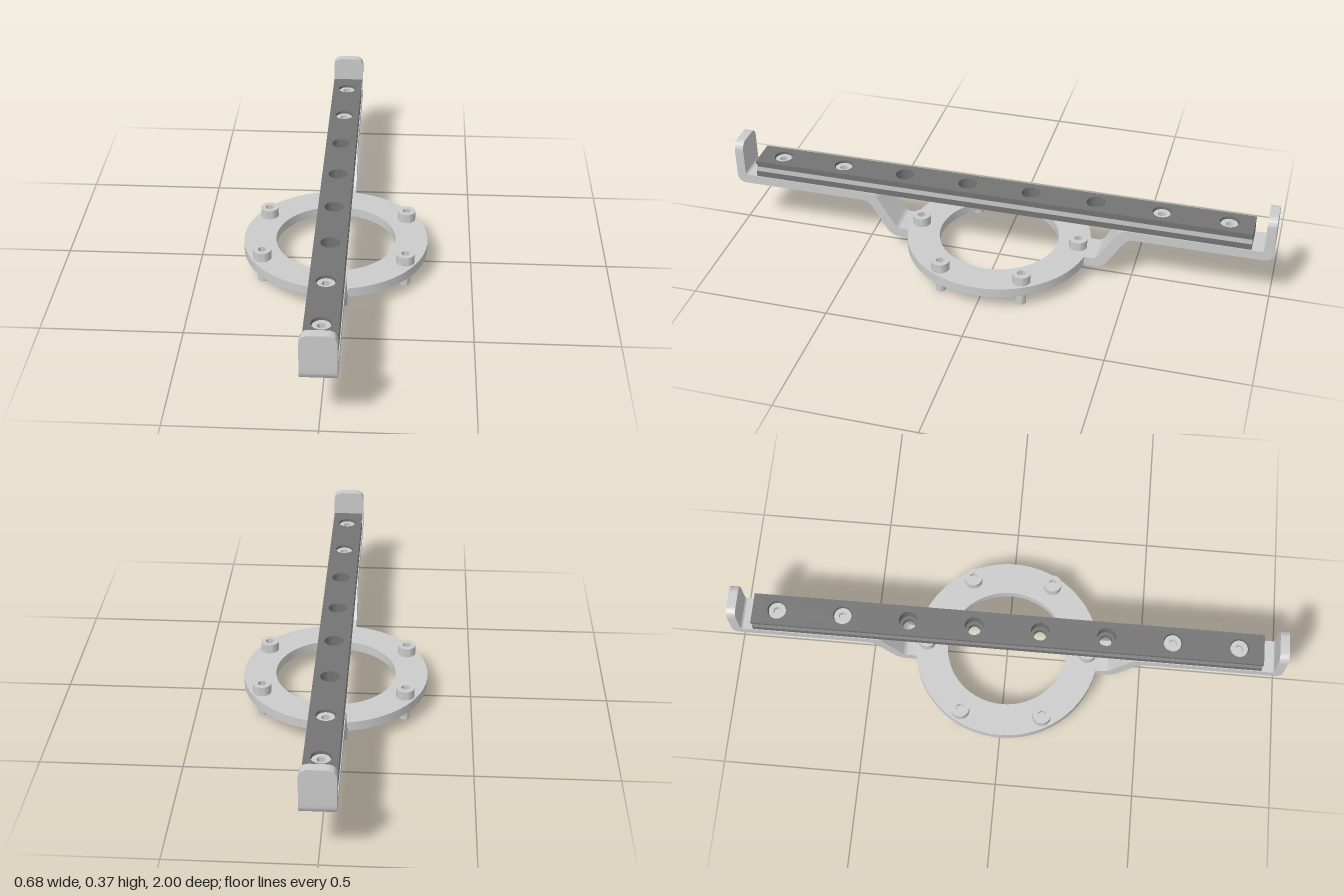
import * as THREE from 'three';
import { toCreasedNormals } from 'three/addons/utils/BufferGeometryUtils.js';

const grey = new THREE.MeshStandardMaterial({ color: 0xcccccc });
const dark = new THREE.MeshStandardMaterial({ color: 0x747474 });

const circle = (x, y, r) => new THREE.Path().absarc(x, y, r, 0, Math.PI * 2, true);

// Polygon whose corners [x, y, r] are softened by distance r
function roundedShape(pts) {
  const shape = new THREE.Shape();
  const n = pts.length;
  const towards = (a, b, d) => new THREE.Vector2(b[0] - a[0], b[1] - a[1]).setLength(d).add(new THREE.Vector2(a[0], a[1]));
  pts.forEach((p, i) => {
    const r = p[2] || 0;
    const a = r ? towards(p, pts[(i + n - 1) % n], r) : new THREE.Vector2(p[0], p[1]);
    if (i) shape.lineTo(a.x, a.y); else shape.moveTo(a.x, a.y);
    if (r) {
      const b = towards(p, pts[(i + 1) % n], r);
      shape.quadraticCurveTo(p[0], p[1], b.x, b.y);
    }
  });
  shape.closePath();
  return shape;
}

const extrude = (shape, depth, curveSegments = 8) =>
  new THREE.ExtrudeGeometry(shape, { depth, bevelEnabled: false, curveSegments });

// Plan-view shape raised from y0 to y1
const slab = (shape, y0, y1, seg) => extrude(shape, y1 - y0, seg).rotateX(-Math.PI / 2).translate(0, y0, 0);

function mesh(name, geometry, material = grey) {
  const m = new THREE.Mesh(toCreasedNormals(geometry, 0.6), material);
  m.name = name;
  return m;
}

// Socket-head bolt: the shaft top is the floor of the hexagonal socket
function bolt(name, x, z, headY, headR, headH, shaftR, tipY) {
  const g = new THREE.Group();
  g.name = name;
  const head = new THREE.Shape().absarc(0, 0, headR, 0, Math.PI * 2, false);
  const hex = new THREE.Path();
  hex.setFromPoints(Array.from({ length: 6 }, (_, i) => {
    const a = -i * Math.PI / 3;
    return new THREE.Vector2(Math.cos(a), Math.sin(a)).multiplyScalar(headR * 0.5);
  }));
  hex.closePath();
  head.holes.push(hex);
  g.add(mesh(name + 'Head', slab(head, headY, headY + headH, 12)));
  const top = headY + headH * 0.45;
  const shaft = new THREE.CylinderGeometry(shaftR, shaftR, top - tipY, 20);
  g.add(mesh(name + 'Shaft', shaft.translate(0, (top + tipY) / 2, 0)));
  g.position.set(x, 0, z);
  return g;
}

// Cranked arm running from the ring to the upturned end stop
function bracket(name) {
  const g = new THREE.Group();
  g.name = name;
  const profile = roundedShape([
    [0.325, 0.062], [0.40, 0.062, 0.03], [0.485, 0.2, 0.025], [1, 0.2, 0.035], [1, 0.26],
    [0.967, 0.26], [0.967, 0.235, 0.012], [0.462, 0.235, 0.03], [0.375, 0.097, 0.015], [0.325, 0.097],
  ]);
  g.add(mesh(name + 'Arm', extrude(profile, 0.12).rotateY(-Math.PI / 2).translate(0.06, 0, 0)));
  const plate = roundedShape([[-0.06, 0.26], [0.06, 0.26], [0.06, 0.37, 0.035], [-0.06, 0.37, 0.035]]);
  g.add(mesh(name + 'EndStop', extrude(plate, 0.033).translate(0, 0, 0.967)));
  return g;
}

// Layers of the grooved rail: [bottom, top, half width below, half width above, hole radius]
function rail(holeZ) {
  const g = new THREE.Group();
  g.name = 'rail';
  const layers = [
    [0.235, 0.258, 0.057, 0.057, 0.022],
    [0.258, 0.270, 0.057, 0.046, 0.034],
    [0.270, 0.280, 0.046, 0.046, 0.034],
    [0.280, 0.288, 0.046, 0.057, 0.034],
    [0.288, 0.300, 0.057, 0.057, 0.034],
  ];
  for (const [y0, y1, w0, w1, r] of layers) {
    const shape = roundedShape([[-0.057, -0.922], [0.057, -0.922], [0.057, 0.922], [-0.057, 0.922]]);
    for (const z of holeZ) shape.holes.push(circle(0, -z, r));
    const geo = slab(shape, y0, y1, 12);
    const p = geo.attributes.position;
    for (let i = 0; i < p.count; i++) {
      if (Math.abs(p.getX(i)) < 0.05) continue;
      p.setX(i, Math.sign(p.getX(i)) * (p.getY(i) < (y0 + y1) / 2 ? w0 : w1));
    }
    g.add(mesh('railLayer', geo, dark));
  }
  return g;
}

export function createModel() {
  const model = new THREE.Group();
  model.name = 'railMount';

  // Mounting ring and its six bolts
  const ring = new THREE.Shape().absarc(0, 0, 0.338, 0, Math.PI * 2, false);
  ring.holes.push(circle(0, 0, 0.22));
  model.add(mesh('mountingRing', slab(ring, 0.062, 0.097, 32)));
  for (let i = 0; i < 6; i++) {
    const a = i * Math.PI / 3;
    model.add(bolt('ringBolt', 0.298 * Math.sin(a), 0.298 * Math.cos(a), 0.097, 0.033, 0.035, 0.018, 0.005));
  }

  // Mirrored arms
  const front = bracket('frontBracket');
  const back = bracket('backBracket');
  back.rotation.y = Math.PI;
  model.add(front, back);

  // Rail, bolted down through its outer holes
  const holeZ = [-0.833, -0.595, -0.357, -0.119, 0.119, 0.357, 0.595, 0.833];
  model.add(rail(holeZ));
  for (const z of holeZ.filter((v) => Math.abs(v) > 0.5)) {
    model.add(bolt('railBolt', 0, z, 0.258, 0.031, 0.033, 0.016, 0.198));
  }
  return model;
}
